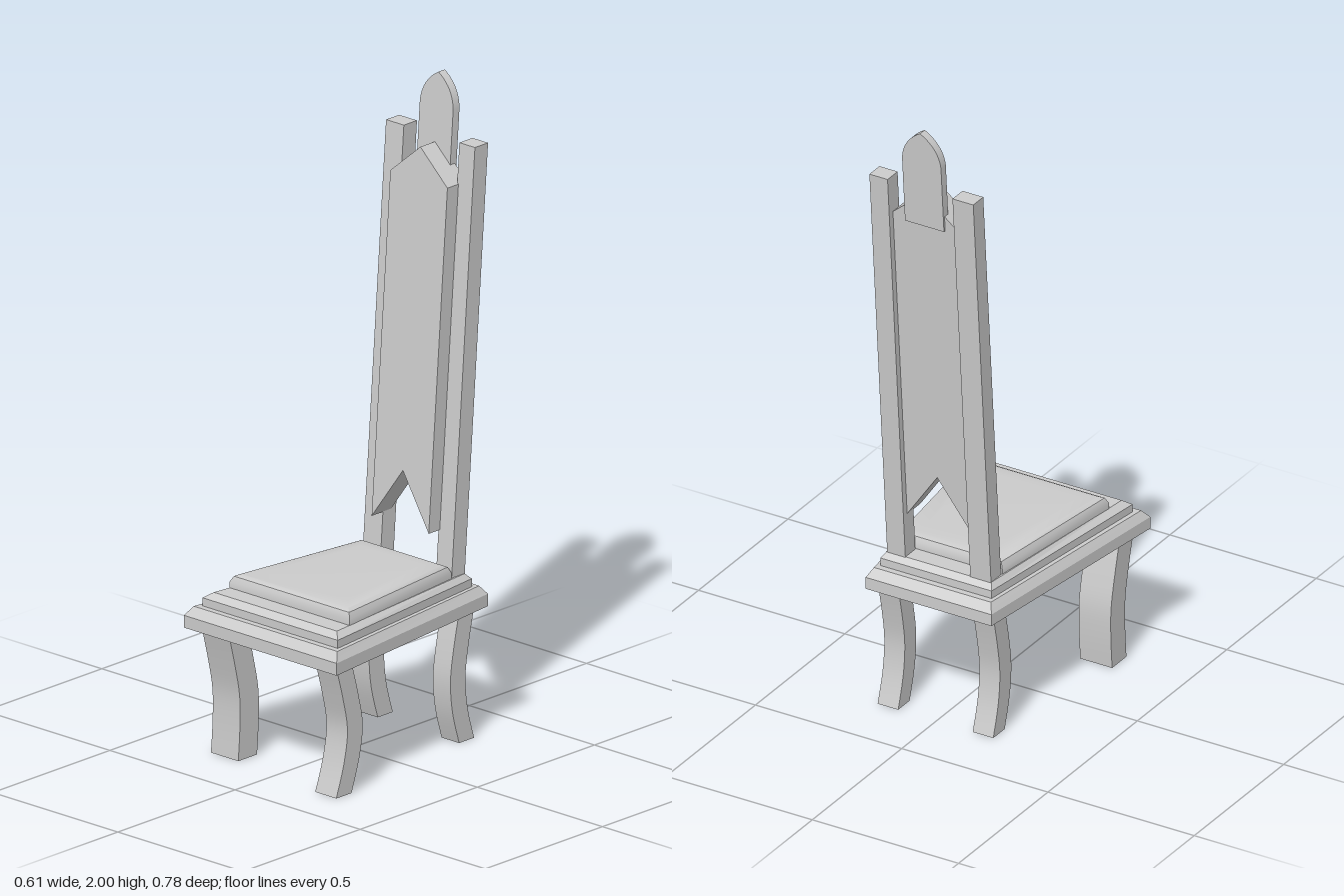
import * as THREE from 'three';
import { toCreasedNormals } from 'three/addons/utils/BufferGeometryUtils.js';

const material = new THREE.MeshStandardMaterial({ color: 0xcccccc });
const LEAN = -0.076; // backward lean of the backrest, z per unit of y

function part(name, geometry) {
  const mesh = new THREE.Mesh(geometry, material);
  mesh.name = name;
  return mesh;
}

// Stack of trapezoid rings [y, zFront, halfWidthFront, zBack, halfWidthBack], capped at both ends
function trapezoidLoft(rings, crease = 0.1) {
  const corners = rings.map(([y, zf, wf, zb, wb]) =>
    [[wf, y, zf], [wb, y, zb], [-wb, y, zb], [-wf, y, zf]]);
  const positions = [];
  const quad = (a, b, c, d) => positions.push(...a, ...b, ...c, ...a, ...c, ...d);
  for (let r = 0; r < corners.length - 1; r++) {
    const low = corners[r], high = corners[r + 1];
    for (let i = 0; i < 4; i++) {
      const j = (i + 1) % 4;
      quad(low[i], low[j], high[j], high[i]);
    }
  }
  quad(...[...corners[0]].reverse());
  quad(...corners[corners.length - 1]);
  const geometry = new THREE.BufferGeometry();
  geometry.setAttribute('position', new THREE.Float32BufferAttribute(positions, 3));
  return toCreasedNormals(geometry, crease);
}

// Side profile (z, y) swept along x: a curved leg given by its front edge points, top to bottom
function curvedLeg(xMin, xMax, frontEdge, depth) {
  const curve = new THREE.SplineCurve(frontEdge.map(([z, y]) => new THREE.Vector2(z, y)));
  const front = curve.getPoints(16);
  const back = front.map((p) => new THREE.Vector2(p.x - depth, p.y)).reverse();
  const geometry = new THREE.ExtrudeGeometry(new THREE.Shape([...front, ...back]),
    { depth: xMax - xMin, bevelEnabled: false });
  geometry.rotateY(-Math.PI / 2).translate(xMax, 0, 0);
  return toCreasedNormals(geometry, 0.6);
}

// Front outline extruded in z, then sheared backwards; zFront is the front face position at y = 0
function leaningBoard(shape, zFront, depth) {
  const geometry = new THREE.ExtrudeGeometry(shape, { depth, bevelEnabled: false, curveSegments: 10 });
  geometry.translate(0, 0, zFront - depth);
  geometry.applyMatrix4(new THREE.Matrix4().set(1, 0, 0, 0, 0, 1, 0, 0, 0, LEAN, 1, 0, 0, 0, 0, 1));
  return toCreasedNormals(geometry, 0.5);
}

const outline = (points) => new THREE.Shape(points.map(([x, y]) => new THREE.Vector2(x, y)));

export function createModel() {
  const chair = new THREE.Group();
  chair.name = 'chair';

  // Seat: two chamfered slabs and a cushion with softened edges
  chair.add(part('seatBase', trapezoidLoft([
    [0.40, 0.392, 0.305, -0.35, 0.215],
    [0.438, 0.392, 0.305, -0.35, 0.215],
    [0.465, 0.37, 0.287, -0.328, 0.2],
  ])));
  chair.add(part('seatStep', trapezoidLoft([
    [0.46, 0.35, 0.27, -0.308, 0.19],
    [0.49, 0.35, 0.27, -0.308, 0.19],
    [0.507, 0.328, 0.246, -0.29, 0.178],
  ])));
  chair.add(part('seatCushion', trapezoidLoft([
    [0.50, 0.267, 0.24, -0.232, 0.18],
    [0.525, 0.267, 0.24, -0.232, 0.18],
    [0.543, 0.259, 0.23, -0.224, 0.172],
    [0.55, 0.245, 0.215, -0.21, 0.158],
    [0.553, 0.20, 0.17, -0.165, 0.12],
  ], 0.6)));

  // Legs: the right front leg is heavier and curls forward less at the foot
  chair.add(part('frontLegLeft', curvedLeg(0.183, 0.267,
    [[0.353, 0.405], [0.324, 0.3], [0.305, 0.2], [0.32, 0.1], [0.353, 0]], 0.065)));
  chair.add(part('frontLegRight', curvedLeg(-0.272, -0.163,
    [[0.353, 0.405], [0.326, 0.3], [0.306, 0.2], [0.305, 0.1], [0.312, 0]], 0.08)));
  for (const [name, x] of [['backLegLeft', 0.13], ['backLegRight', -0.195]]) {
    chair.add(part(name, curvedLeg(x, x + 0.07,
      [[-0.243, 0.405], [-0.22, 0.3], [-0.206, 0.2], [-0.215, 0.1], [-0.243, 0]], 0.064)));
  }

  // Back posts
  for (const [name, x0, x1] of [['backPostLeft', 0.115, 0.177], ['backPostRight', -0.178, -0.107]]) {
    chair.add(part(name, leaningBoard(
      outline([[x0, 0.49], [x1, 0.49], [x1, 1.815], [x0, 1.815]]), -0.197, 0.056)));
  }

  // Back panel: pointed top and notched bottom
  chair.add(part('backPanel', leaningBoard(outline([
    [-0.108, 0.64], [0.005, 0.805], [0.12, 0.64], [0.12, 1.69], [0.005, 1.788], [-0.108, 1.69],
  ]), -0.15, 0.082)));

  // Finial: narrow board with a pointed arch
  const arch = new THREE.Shape();
  arch.moveTo(-0.063, 1.68);
  arch.lineTo(0.07, 1.68);
  arch.lineTo(0.07, 1.9);
  arch.quadraticCurveTo(0.064, 1.965, 0.004, 2);
  arch.quadraticCurveTo(-0.057, 1.965, -0.063, 1.9);
  arch.closePath();
  chair.add(part('finial', leaningBoard(arch, -0.212, 0.027)));

  return chair;
}
